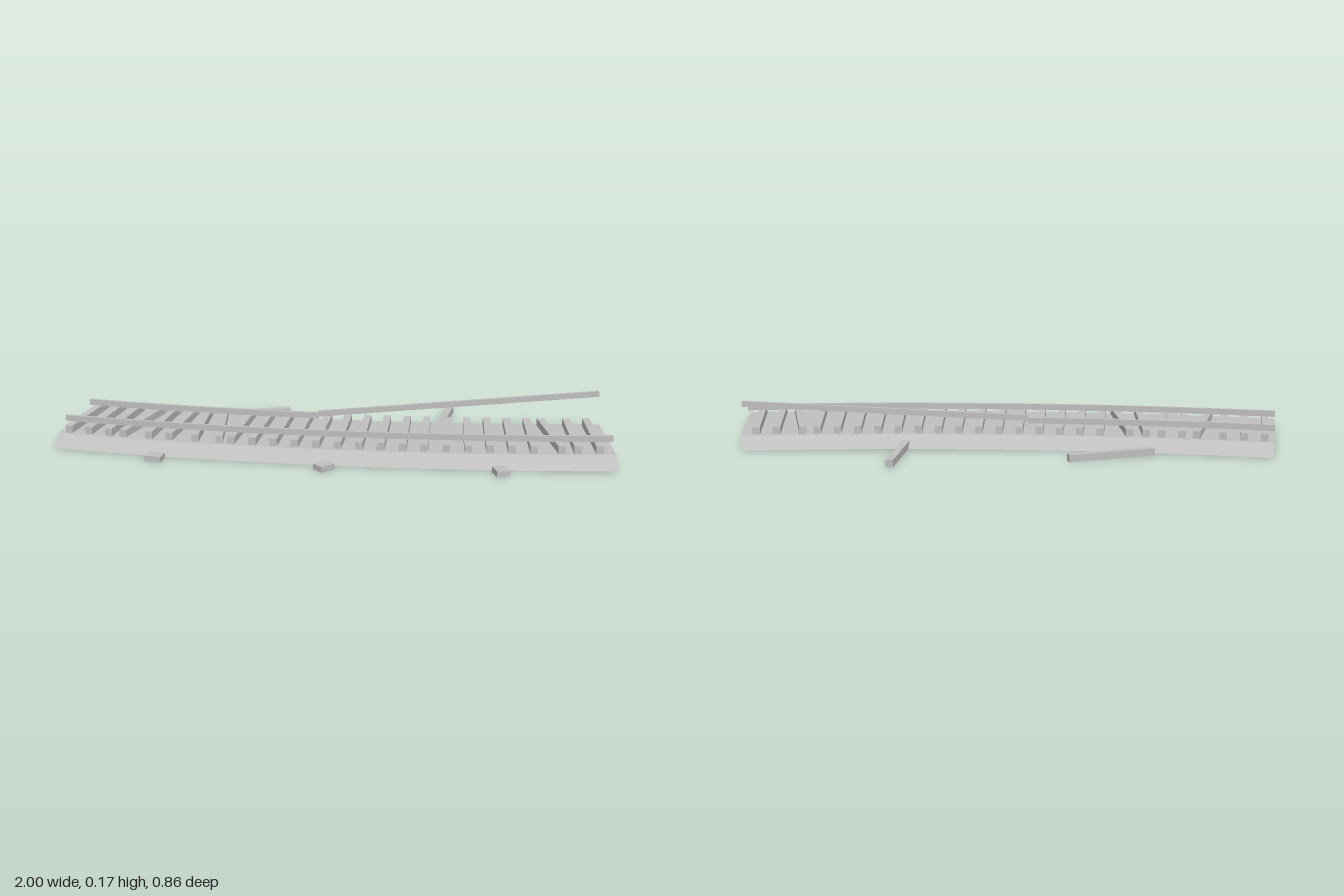
import * as THREE from 'three';

const R = 7.5, CX = -1, CZ = -7.35, SWEEP = Math.PI / 12;

// Point on the track curve: angle along it, sideways offset and height
const onTrack = (angle, offset, y) => new THREE.Vector3(
  CX + (R + offset) * Math.sin(angle), y, CZ + (R + offset) * Math.cos(angle));

// Sweeps a convex [offset, y] profile along the curve, closed at both ends.
// Profile runs from the inner bottom, over the top, to the outer bottom.
function sweep(profile, start, end, steps) {
  const pos = [];
  const tri = (...pts) => pts.forEach(p => pos.push(p.x, p.y, p.z));
  const n = profile.length;
  const ring = i => profile.map(([o, y]) => onTrack(start + (end - start) * i / steps, o, y));
  for (let i = 0; i < steps; i++) {
    const a = ring(i), b = ring(i + 1);
    for (let j = 0; j < n; j++) {
      const k = (j + 1) % n;
      tri(a[j], a[k], b[k]);
      tri(a[j], b[k], b[j]);
    }
  }
  const first = ring(0), last = ring(steps);
  for (let j = 1; j < n - 1; j++) {
    tri(first[0], first[j + 1], first[j]);
    tri(last[0], last[j], last[j + 1]);
  }
  const g = new THREE.BufferGeometry();
  g.setAttribute('position', new THREE.Float32BufferAttribute(pos, 3));
  g.computeVertexNormals();
  return g;
}

export function createModel() {
  const model = new THREE.Group();
  const grey = new THREE.MeshStandardMaterial({ color: 0xbfbfbf });
  grey.name = 'plain grey';

  const add = (name, geometry, x = 0, y = 0, z = 0, yaw = 0) => {
    const mesh = new THREE.Mesh(geometry, grey);
    mesh.name = name;
    mesh.position.set(x, y, z);
    mesh.rotation.y = yaw;
    model.add(mesh);
    return mesh;
  };

  // Curved ballast bed with sloping shoulders
  add('ballast', sweep([[-0.225, 0], [-0.178, 0.043], [0.178, 0.043], [0.225, 0]], 0, SWEEP, 24));

  // Sleepers across the bed, a few knocked askew
  const sleeper = new THREE.BoxGeometry(0.027, 0.028, 0.33);
  const askew = { 3: -0.13, 6: 0.12, 7: 0.2, 23: 0.13 };
  const count = 26;
  for (let i = 0; i < count; i++) {
    const angle = 0.0047 + 0.25 * i / (count - 1);
    const p = onTrack(angle, 0, 0.056);
    add('sleeper', sleeper, p.x, p.y, p.z, angle + (askew[i] || 0));
  }

  // Rails: the outer one is whole, the inner one breaks off partway
  const rail = (offset, end, steps) => sweep(
    [[offset - 0.006, 0.069], [offset - 0.006, 0.091], [offset + 0.006, 0.091], [offset + 0.006, 0.069]],
    0, end, steps);
  add('outerRail', rail(0.105, SWEEP, 24), 0, 0, 0);
  add('innerRail', rail(-0.105, 0.1206, 11), 0, 0, 0);

  // Broken length of rail, lifted and bent away
  const from = new THREE.Vector3(-0.11, 0.088, -0.004);
  const to = new THREE.Vector3(0.89, 0.162, -0.274);
  const broken = add('brokenRail', new THREE.BoxGeometry(0.012, 0.021, from.distanceTo(to)));
  broken.position.copy(from).lerp(to, 0.5);
  broken.lookAt(to);

  // Loose sleepers lying behind the bed
  const loose = new THREE.BoxGeometry(0.32, 0.026, 0.027);
  add('looseSleeper', loose, -0.435, 0.013, -0.175, 0.47);
  add('looseSleeper', loose, 0.309, 0.013, -0.272, Math.PI / 2 + 0.02);

  // Small blocks in front of the bed
  const block = new THREE.BoxGeometry(0.06, 0.021, 0.048);
  [[-0.597, 0.404, 0], [0.01, 0.349, 0.93], [0.612, 0.243, -1.1]].forEach(
    ([x, z, yaw]) => add('block', block, x, 0.0105, z, yaw));

  return model;
}
